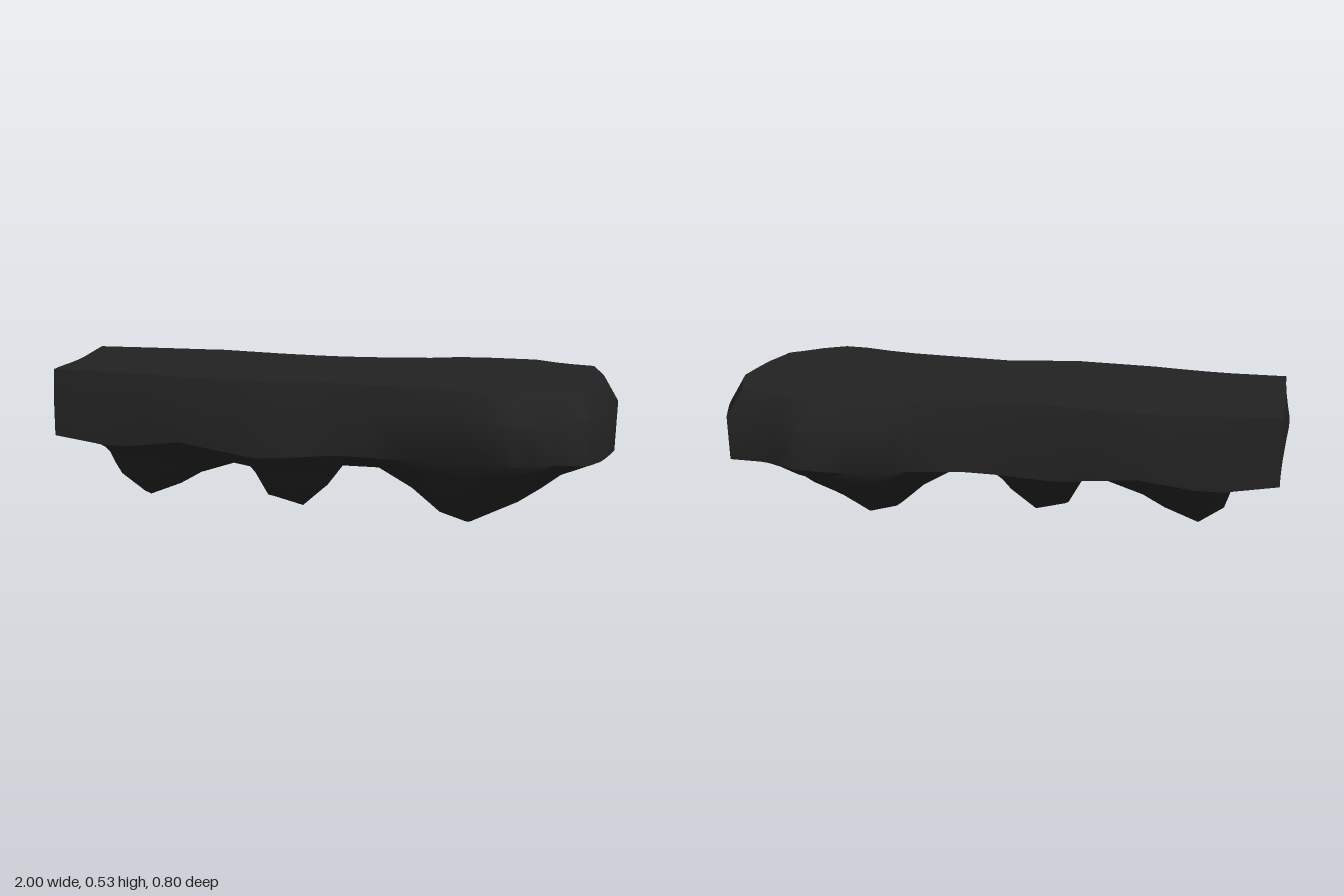
import * as THREE from 'three';
import { toCreasedNormals } from 'three/addons/utils/BufferGeometryUtils.js';

// piecewise-linear lookup in [x, value] pairs
function lookup(table, x) {
  if (x <= table[0][0]) return table[0][1];
  for (let i = 1; i < table.length; i++) {
    const [x0, a] = table[i - 1], [x1, b] = table[i];
    if (x <= x1) return a + (b - a) * (x - x0) / (x1 - x0);
  }
  return table[table.length - 1][1];
}

// plan outline, front and back
const FRONT = [[-0.98, 0.25], [-0.75, 0.26], [-0.5, 0.3], [-0.2, 0.32], [0.02, 0.28], [0.3, 0.3],
  [0.45, 0.33], [0.6, 0.385], [0.68, 0.4], [0.76, 0.35], [0.84, 0.28], [0.92, 0.25]];
const BACK = [[-0.98, -0.25], [-0.75, -0.275], [-0.5, -0.295], [-0.25, -0.265], [-0.05, -0.255],
  [0.1, -0.27], [0.28, -0.295], [0.43, -0.37], [0.68, -0.4], [0.79, -0.33], [0.95, -0.29]];
// lowest point of the underside, with three hanging crags
const KEEL = [[-0.98, 0.29], [-0.82, 0.2], [-0.79, 0.1], [-0.7, 0.03], [-0.58, 0.08], [-0.55, 0.11],
  [-0.35, 0.18], [-0.28, 0.17], [-0.22, 0.06], [-0.11, 0.03], [-0.02, 0.11], [0.04, 0.19], [0.18, 0.19],
  [0.3, 0.12], [0.4, 0.03], [0.5, 0], [0.7, 0.11], [0.82, 0.2], [0.88, 0.24], [0.96, 0.27]];
// lower edge of the side walls
const EDGE = [[-0.98, 0.29], [-0.75, 0.26], [-0.5, 0.3], [-0.2, 0.26], [0.1, 0.28], [0.4, 0.28], [0.7, 0.3], [0.95, 0.28]];
// how far the top rim steps in from the wall
const INSET = [[-0.98, 0.01], [-0.6, 0.025], [0.3, 0.025], [0.68, 0.07], [0.95, 0.04]];
// hang of the underside across its half width
const HANG = [[0, 1], [0.25, 0.92], [0.5, 0.68], [0.72, 0.38], [0.88, 0.2], [1, 0]];

const STATIONS = [-0.98, -0.9, -0.82, -0.79, -0.7, -0.58, -0.5, -0.35, -0.28, -0.22, -0.11, -0.02, 0.04, 0.11,
  0.18, 0.3, 0.4, 0.5, 0.6, 0.68, 0.76, 0.82, 0.95];
const ACROSS = [-1, -0.88, -0.72, -0.5, -0.25, 0, 0.25, 0.5, 0.72, 0.88, 1];
const LAST = STATIONS.length - 1, SIDE = ACROSS.length - 1;

// surface point: station i, across j, level k (0 top, 1 wall, 2 underside)
function rockPoint(i, j, k) {
  let x = STATIONS[i];
  const t = ACROSS[j];
  const inset = k === 0 ? lookup(INSET, x) : 0;
  const zf = lookup(FRONT, x) - inset, zb = lookup(BACK, x) + inset;
  const s = k === 2 ? t + 0.12 * (1 - t * t) : t;
  const z = (zf + zb) / 2 + s * (zf - zb) / 2;
  let y = 0.44;
  if (k === 0) {
    // faint hollows inside the flat top
    y = 0.53 - 0.008 * (1 - t * t) * (1 + Math.sin(x * 11 + z * 9)) / 2;
  } else if (k === 2) {
    const edge = lookup(EDGE, x), hang = lookup(HANG, Math.abs(t));
    y = edge - Math.max(0, edge - lookup(KEEL, x)) * Math.pow(hang, x < 0.2 ? 1.5 : 1);
  }
  // bowed ends
  if (i === 0) x = k === 1 ? -1 + 0.02 * t * t : -0.98;
  if (i === LAST) {
    x = lookup([[-1, 0.95], [-0.3, 1], [0.5, 0.96], [1, 0.92]], t) - [0.05, 0, 0.005][k];
  }
  return [x, y, z];
}

function buildRock() {
  const positions = [];
  const patch = (nu, nv, point, flip) => {
    for (let u = 0; u < nu; u++) {
      for (let v = 0; v < nv; v++) {
        const a = point(u, v), b = point(u + 1, v), c = point(u + 1, v + 1), d = point(u, v + 1);
        const quad = flip ? [a, d, c, a, c, b] : [a, b, c, a, c, d];
        quad.forEach((p) => positions.push(...p));
      }
    }
  };
  patch(LAST, SIDE, (i, j) => rockPoint(i, j, 0), true); // flat top
  patch(LAST, SIDE, (i, j) => rockPoint(i, j, 2), false); // craggy underside
  patch(LAST, 2, (i, k) => rockPoint(i, SIDE, k), true); // front wall
  patch(LAST, 2, (i, k) => rockPoint(i, 0, k), false); // back wall
  patch(SIDE, 2, (j, k) => rockPoint(LAST, j, k), false); // left end
  patch(SIDE, 2, (j, k) => rockPoint(0, j, k), true); // right end
  const geometry = new THREE.BufferGeometry();
  geometry.setAttribute('position', new THREE.Float32BufferAttribute(positions, 3));
  return toCreasedNormals(geometry, 0.85);
}

export function createModel() {
  const group = new THREE.Group();
  group.name = 'rockPlatform';
  const stone = new THREE.MeshStandardMaterial({ color: 0x222222 });
  stone.name = 'dark stone';
  const rock = new THREE.Mesh(buildRock(), stone);
  rock.name = 'rockSlab';
  group.add(rock);
  return group;
}
